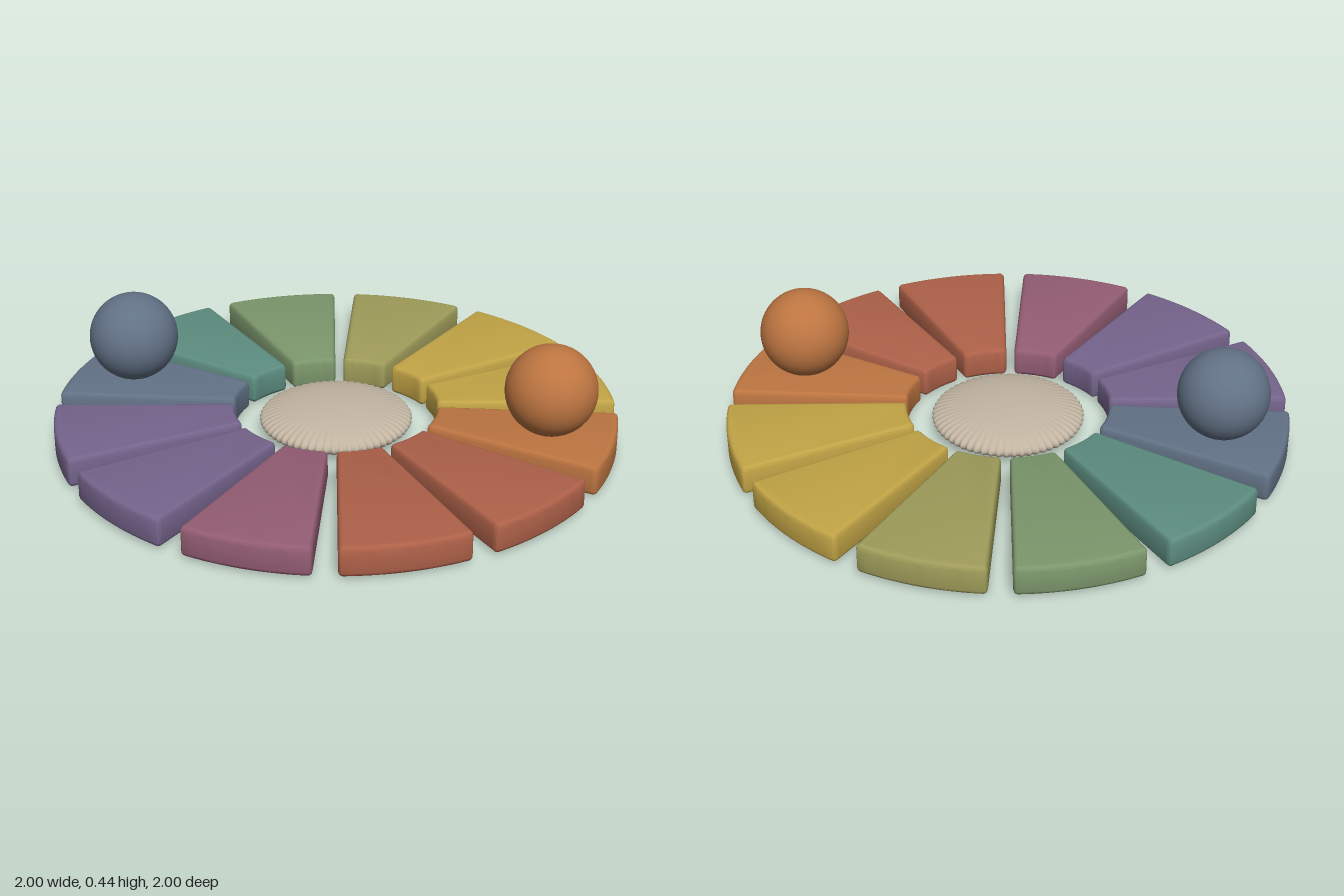
import * as THREE from 'three';
import { toCreasedNormals } from 'three/addons/utils/BufferGeometryUtils.js';

const PITCH = Math.PI / 6;
const OFFSET = THREE.MathUtils.degToRad(-3);
const HALF = THREE.MathUtils.degToRad(12.7);
const R_IN = 0.362, R_OUT = 1, BOTTOM = 0.008, TOP = 0.115, BEVEL = 0.015;

const mat = (name, color) => {
  const m = new THREE.MeshStandardMaterial({ color });
  m.name = name;
  return m;
};

// Ring sector with softly rounded corners and bevelled edges, lying flat
function wedgeGeometry() {
  const at = (r, a) => [r * Math.cos(a), r * Math.sin(a)];
  const c = 0.018;
  const ao = HALF - c / R_OUT, ai = HALF - c / R_IN;
  const s = new THREE.Shape();
  s.moveTo(...at(R_IN + c, -HALF));
  s.lineTo(...at(R_OUT - c, -HALF));
  s.quadraticCurveTo(...at(R_OUT, -HALF), ...at(R_OUT, -ao));
  s.absarc(0, 0, R_OUT, -ao, ao, false);
  s.quadraticCurveTo(...at(R_OUT, HALF), ...at(R_OUT - c, HALF));
  s.lineTo(...at(R_IN + c, HALF));
  s.quadraticCurveTo(...at(R_IN, HALF), ...at(R_IN, ai));
  s.absarc(0, 0, R_IN, ai, -ai, true);
  s.quadraticCurveTo(...at(R_IN, -HALF), ...at(R_IN + c, -HALF));
  const g = new THREE.ExtrudeGeometry(s, {
    depth: TOP - BOTTOM - 2 * BEVEL, curveSegments: 8,
    bevelThickness: BEVEL, bevelSize: BEVEL, bevelOffset: -BEVEL, bevelSegments: 3,
  });
  g.rotateX(Math.PI / 2);
  g.translate(0, TOP - BEVEL, 0);
  return toCreasedNormals(g, 0.65);
}

// Flattened lens whose radius ripples into fine pleats towards the rim
function hubGeometry() {
  const ribs = 60;
  const g = new THREE.SphereGeometry(1, ribs * 6, 32);
  const p = g.attributes.position;
  for (let i = 0; i < p.count; i++) {
    const x = p.getX(i), y = p.getY(i), z = p.getZ(i);
    const rim = x * x + z * z;
    const ripple = 0.268 + 0.005 * rim * Math.cos(ribs * Math.atan2(z, x));
    p.setXYZ(i, x * ripple, 0.058 + y * 0.058, z * ripple);
  }
  g.computeVertexNormals();
  return g;
}

export function createModel() {
  const group = new THREE.Group();
  group.name = 'colourWheel';
  const orange = mat('orange', 0xbd7541);
  const rust = mat('rust', 0xae6149);
  const mauve = mat('mauve', 0x945d74);
  const purple = mat('purple', 0x75648c);
  const slate = mat('slate', 0x627286);
  const teal = mat('teal', 0x5d8d80);
  const green = mat('green', 0x7c976c);
  const olive = mat('olive', 0x9f9c5a);
  const yellow = mat('yellow', 0xc2a446);
  const cream = mat('cream', 0xc2b5a2);

  // Twelve wedges, clockwise from the model's left as seen from above
  const wedge = wedgeGeometry();
  [orange, rust, rust, mauve, purple, purple, slate, teal, green, olive, yellow, yellow]
    .forEach((material, i) => {
      const m = new THREE.Mesh(wedge, material);
      m.name = `wedge${i + 1}`;
      m.rotation.y = -(OFFSET + i * PITCH);
      group.add(m);
    });

  // Pleated centre
  const hub = new THREE.Mesh(hubGeometry(), cream);
  hub.name = 'pleatedHub';
  group.add(hub);

  // Balls resting on opposite wedges
  const ball = new THREE.SphereGeometry(0.16, 48, 32);
  [['orangeBall', orange, 1], ['slateBall', slate, -1]].forEach(([name, material, side]) => {
    const m = new THREE.Mesh(ball, material);
    m.name = name;
    m.position.set(0.77 * side, TOP + 0.16, -0.04 * side);
    group.add(m);
  });

  return group;
}
